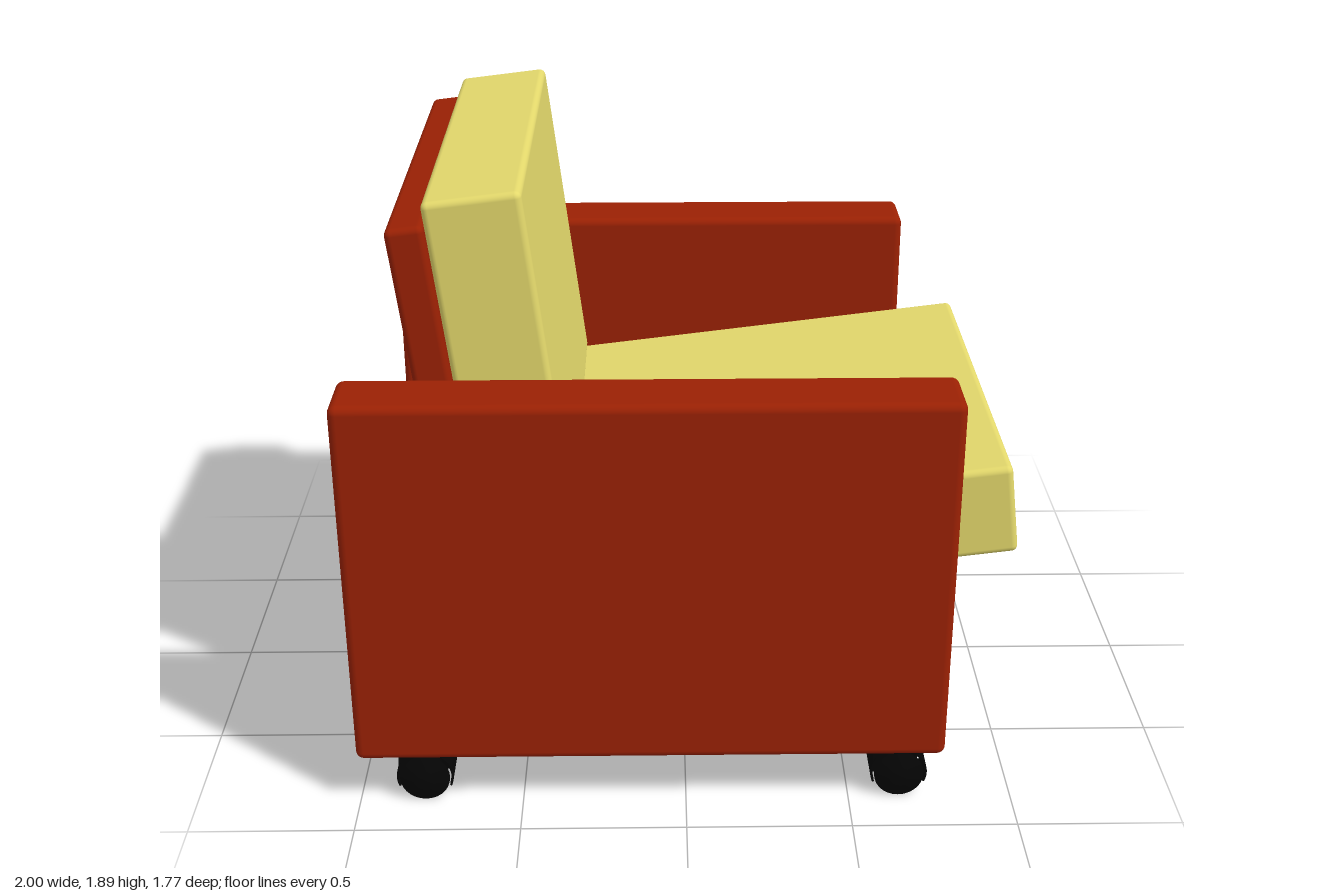
import * as THREE from 'three';
import { RoundedBoxGeometry } from 'three/addons/geometries/RoundedBoxGeometry.js';

const red = new THREE.MeshStandardMaterial({ color: 0x9b2104 });
const cream = new THREE.MeshStandardMaterial({ color: 0xe4d96c });
const black = new THREE.MeshStandardMaterial({ color: 0x050505, side: THREE.DoubleSide });

// Rounded slab between x and y limits, centred on z unless zc is given
function slab(name, material, [x0, x1], [y0, y1], depth, radius = 0.02, zc = 0) {
  const mesh = new THREE.Mesh(new RoundedBoxGeometry(x1 - x0, y1 - y0, depth, 3, radius), material);
  mesh.position.set((x0 + x1) / 2, (y0 + y1) / 2, zc);
  mesh.name = name;
  return mesh;
}

// Twin-wheel caster with its axle along z and its centre at the axle
function createCaster() {
  const caster = new THREE.Group();
  caster.name = 'caster';
  const add = (name, geometry, x = 0, y = 0, z = 0) => {
    const mesh = new THREE.Mesh(geometry, black);
    mesh.name = name;
    mesh.position.set(x, y, z);
    caster.add(mesh);
    return mesh;
  };

  // Cone-sided wheels on a shared hub
  const profile = [[0.04, 0.05], [0.072, 0.05], [0.076, 0.054], [0.076, 0.063], [0.035, 0.079],
    [0.025, 0.086], [0, 0.086]].map(([r, h]) => new THREE.Vector2(r, h));
  for (const side of [-1, 1]) {
    add('wheel', new THREE.LatheGeometry(profile, 28)).rotation.x = side * Math.PI / 2;
  }
  add('hub', new THREE.CylinderGeometry(0.042, 0.042, 0.11, 24)).rotation.x = Math.PI / 2;

  // Hood curving over both wheels
  const hood = new THREE.Shape();
  hood.absarc(0, 0, 0.087, -0.4, Math.PI + 0.4, false);
  hood.absarc(0, 0, 0.081, Math.PI + 0.4, -0.4, true);
  add('hood', new THREE.ExtrudeGeometry(hood, { depth: 0.11, bevelEnabled: false, curveSegments: 24 }), 0, 0, -0.055);

  // Offset stem joining the hood to the arm
  add('stem', new THREE.BoxGeometry(0.09, 0.115, 0.09), -0.035, 0.055, 0);
  return caster;
}

export function createModel() {
  const chair = new THREE.Group();
  chair.name = 'armchair';

  // Slab arms, each on two casters
  for (const side of [-1, 1]) {
    chair.add(slab('arm', red, [-1, 0.787], [0.17, 1.345], 0.208, 0.025, side * 0.783));
    for (const x of [-0.8, 0.655]) {
      const caster = createCaster();
      caster.position.set(x, 0.076, side * 0.783);
      chair.add(caster);
    }
  }

  // Upright panel below the seat front
  chair.add(slab('frontPanel', red, [0.69, 0.787], [0.17, 0.715], 1.357));

  // Reclined seat and back, tilted together
  const seating = new THREE.Group();
  seating.name = 'seating';
  seating.position.set(-0.685, 0.475, 0);
  seating.rotation.z = THREE.MathUtils.degToRad(7);
  seating.add(
    slab('backPanel', red, [0.005, 0.118], [0, 1.32], 1.35),
    slab('seatBoard', red, [0.09, 1.375], [0, 0.07], 1.35),
    slab('seatCushion', cream, [0.118, 1.712], [0.068, 0.356], 1.33),
    slab('backCushion', cream, [0.118, 0.402], [0.352, 1.382], 1.33),
  );
  chair.add(seating);
  return chair;
}
